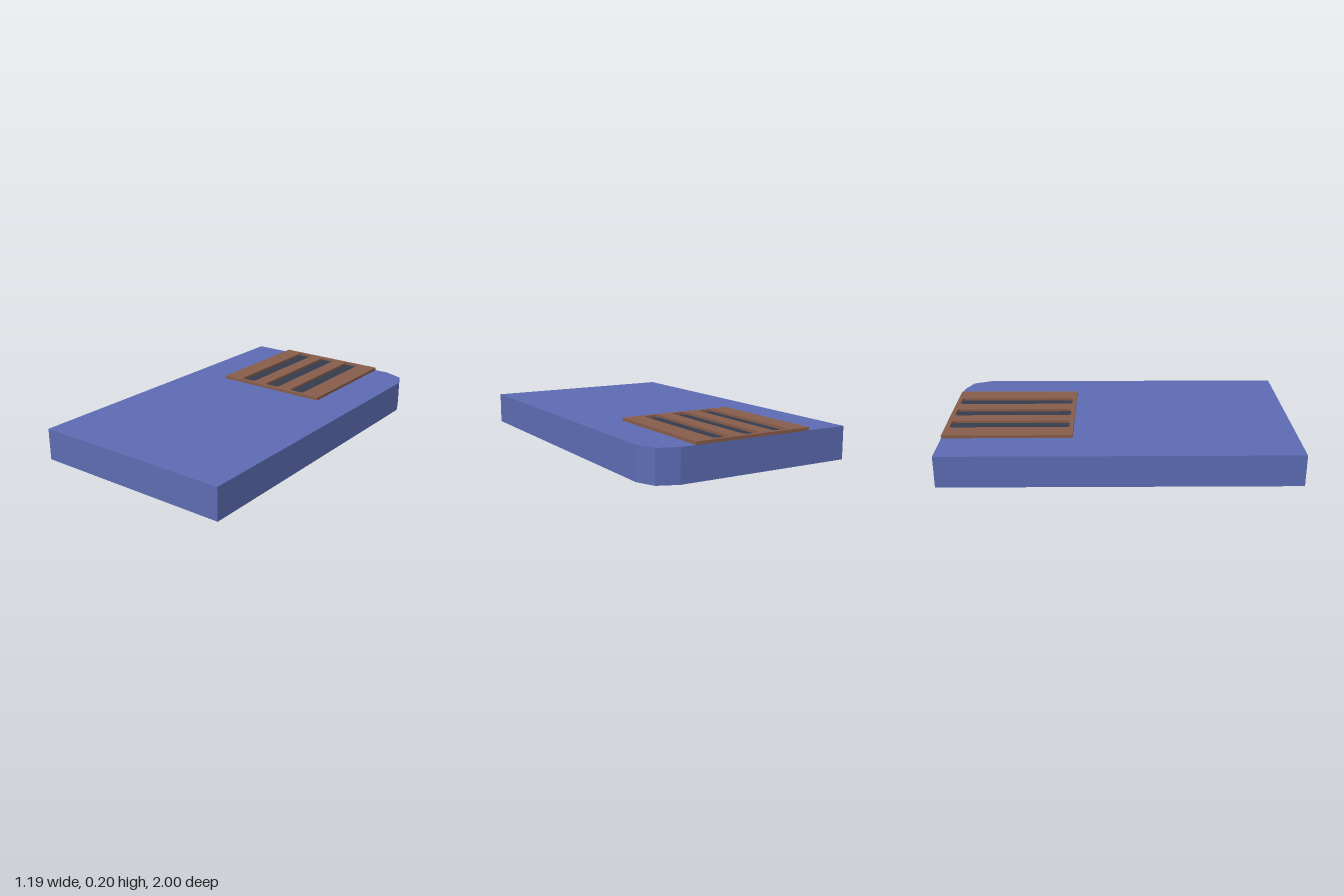
import * as THREE from 'three';

const mat = (name, color) => {
  const m = new THREE.MeshStandardMaterial({ color });
  m.name = name;
  return m;
};

// Polygon given as [x, z] corners, seen from above
const trace = (path, pts) => {
  path.setFromPoints(pts.map(([x, z]) => new THREE.Vector2(x, -z)));
  path.closePath();
  return path;
};

// Extrudes a flat outline upwards from y0 to y1
function slab(name, shape, y0, y1, material) {
  const geo = new THREE.ExtrudeGeometry(shape, { depth: y1 - y0, bevelEnabled: false });
  geo.rotateX(-Math.PI / 2);
  geo.translate(0, y0, 0);
  const mesh = new THREE.Mesh(geo, material);
  mesh.name = name;
  return mesh;
}

export function createModel() {
  const blue = mat('blue', 0x5c6bb2);
  const brown = mat('brown', 0x865c4a);
  const dark = mat('dark slate', 0x353b4c);
  const model = new THREE.Group();
  model.name = 'slab with slotted plate';

  const top = 0.183, plateTop = 0.2;

  // Main slab with one faceted corner at the back left
  const outline = trace(new THREE.Shape(), [
    [-0.593, 1], [0.593, 1], [0.593, -0.85], [0.548, -0.955], [0.435, -1], [-0.593, -1],
  ]);
  model.add(slab('body', outline, 0, top, blue));

  // Raised plate with three long slots
  const plate = trace(new THREE.Shape(), [
    [-0.35, -0.265], [0.348, -0.265], [0.348, -1], [-0.35, -1],
  ]);
  const w = 0.047, z0 = -0.975, z1 = -0.288, c = 0.012;
  for (const x of [-0.186, -0.004, 0.18]) {
    // Slot with small clipped corners
    plate.holes.push(trace(new THREE.Path(), [
      [x - w, z0 + c], [x - w + c, z0], [x + w - c, z0], [x + w, z0 + c],
      [x + w, z1 - c], [x + w - c, z1], [x - w + c, z1], [x - w, z1 - c],
    ]));
    // Dark floor of the slot
    const floor = new THREE.Mesh(new THREE.BoxGeometry(2 * w, 0.003, z1 - z0), dark);
    floor.name = 'slotFloor';
    floor.position.set(x, top + 0.0015, (z0 + z1) / 2);
    model.add(floor);
  }
  model.add(slab('slottedPlate', plate, top, plateTop, brown));

  return model;
}
